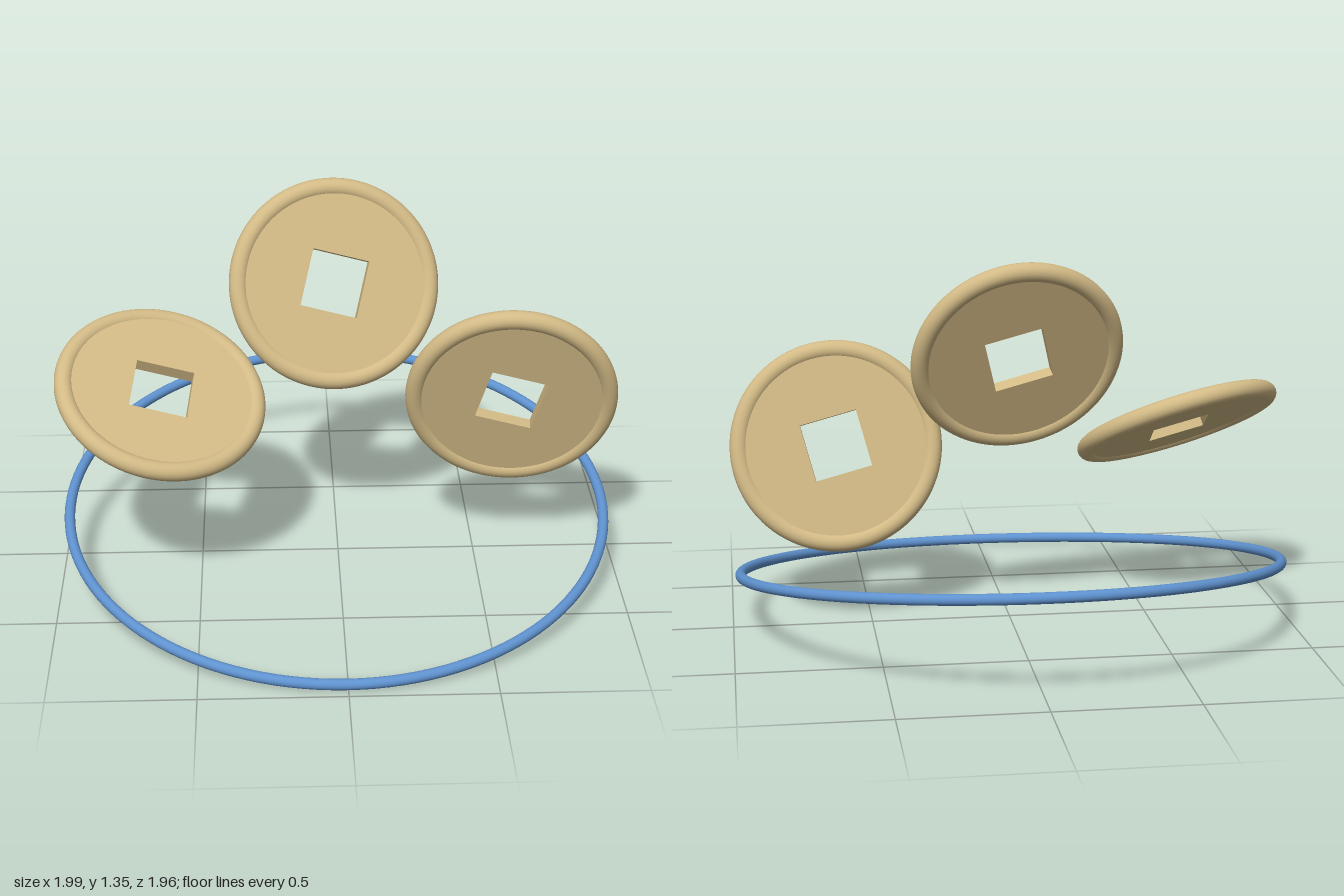
import * as THREE from 'three';

export function createModel() {
  const tan = new THREE.MeshStandardMaterial({ color: 0xd2ba86 });
  tan.name = 'tan';
  const blue = new THREE.MeshStandardMaterial({ color: 0x5f92cf });
  blue.name = 'blue';
  const deg = THREE.MathUtils.degToRad;

  const model = new THREE.Group();
  model.name = 'discsAndHoop';

  const addMesh = (parent, name, geometry, material) => {
    const mesh = new THREE.Mesh(geometry, material);
    mesh.name = name;
    parent.add(mesh);
    return mesh;
  };

  // Large hoop, rising towards the back
  const hoopGeometry = new THREE.TorusGeometry(0.975, 0.019, 16, 128).rotateX(Math.PI / 2);
  const hoop = addMesh(model, 'hoop', hoopGeometry, blue);
  hoop.position.set(-0.005, 0.195, -0.003);
  hoop.rotation.x = deg(10.4);

  // Disc plate with a square hole, lying flat with its axis along y
  const thickness = 0.048;
  const half = 0.104;
  const outline = new THREE.Shape().absarc(0, 0, 0.346, 0, Math.PI * 2, false);
  const hole = new THREE.Path([
    new THREE.Vector2(-half, -half),
    new THREE.Vector2(-half, half),
    new THREE.Vector2(half, half),
    new THREE.Vector2(half, -half),
  ]);
  hole.closePath();
  outline.holes.push(hole);
  const plateGeometry = new THREE.ExtrudeGeometry(outline, {
    depth: thickness, bevelEnabled: false, curveSegments: 64,
  }).translate(0, 0, -thickness / 2).rotateX(-Math.PI / 2);

  // Rounded rim
  const rimGeometry = new THREE.TorusGeometry(0.345, 0.034, 20, 96).rotateX(Math.PI / 2);

  // Three discs, each pitched further forward than the last
  const discs = [
    { name: 'rightDisc', position: [-0.63, 0.689, 0.087], pitch: 25 },
    { name: 'middleDisc', position: [-0.008, 0.997, -0.158], pitch: 65.5 },
    { name: 'leftDisc', position: [0.617, 0.644, 0.065], pitch: 105.5 },
  ];
  for (const { name, position, pitch } of discs) {
    const disc = new THREE.Group();
    disc.name = name;
    addMesh(disc, 'plate', plateGeometry, tan);
    addMesh(disc, 'rim', rimGeometry, tan);
    disc.position.set(...position);
    disc.rotation.set(deg(pitch), 0, deg(-15), 'ZXY');
    model.add(disc);
  }

  return model;
}
